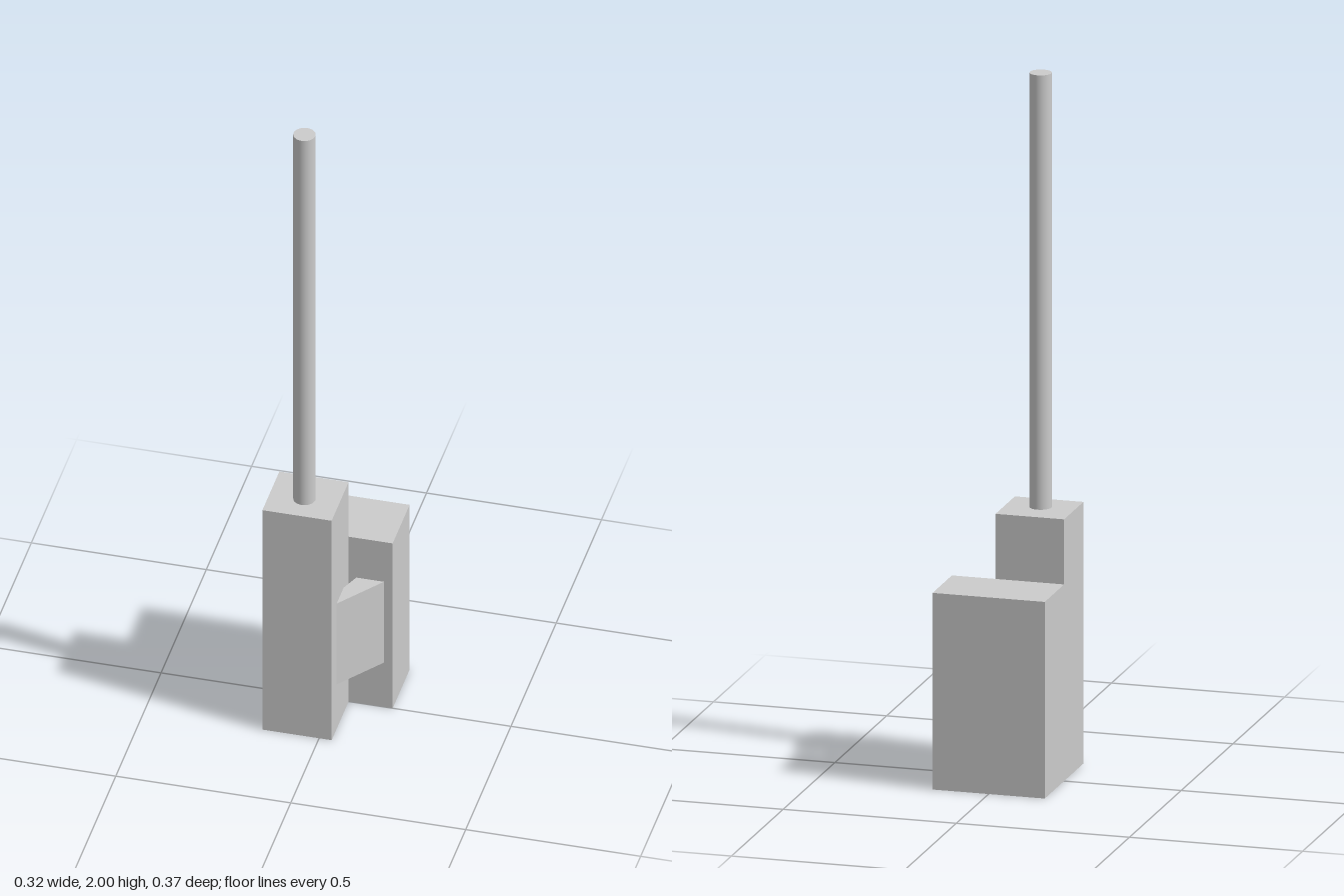
import * as THREE from 'three';

const material = new THREE.MeshStandardMaterial({ color: 0xcccccc });

function add(group, name, geometry) {
  const mesh = new THREE.Mesh(geometry, material);
  mesh.name = name;
  group.add(mesh);
  return mesh;
}

// Box given by its extents on x and z, standing on the ground
function block(group, name, x0, x1, z0, z1, height) {
  const mesh = add(group, name, new THREE.BoxGeometry(x1 - x0, height, z1 - z0));
  mesh.position.set((x0 + x1) / 2, height / 2, (z0 + z1) / 2);
}

export function createModel() {
  const group = new THREE.Group();
  group.name = 'towerBuilding';

  // Tall front tower and wide lower block behind it
  block(group, 'tower', -0.162, 0.036, 0, 0.187, 0.752);
  block(group, 'rearBlock', -0.162, 0.162, -0.187, 0, 0.565);

  // Thin round mast on the tower roof
  const mastHeight = 2 - 0.752;
  const mast = add(group, 'mast', new THREE.CylinderGeometry(0.031, 0.031, mastHeight, 48));
  mast.position.set(-0.063, 0.752 + mastHeight / 2, 0.105);

  // Slanted brace in the corner between the blocks, drawn in plan as (x, -z)
  const plan = new THREE.Shape([
    [0.036, -0.055], [0.036, -0.132], [0.137, 0], [0.058, 0],
  ].map(([x, y]) => new THREE.Vector2(x, y)));
  const brace = new THREE.ExtrudeGeometry(plan, { depth: 0.277, bevelEnabled: false });
  brace.rotateX(-Math.PI / 2);
  add(group, 'cornerBrace', brace).position.y = 0.152;

  return group;
}
